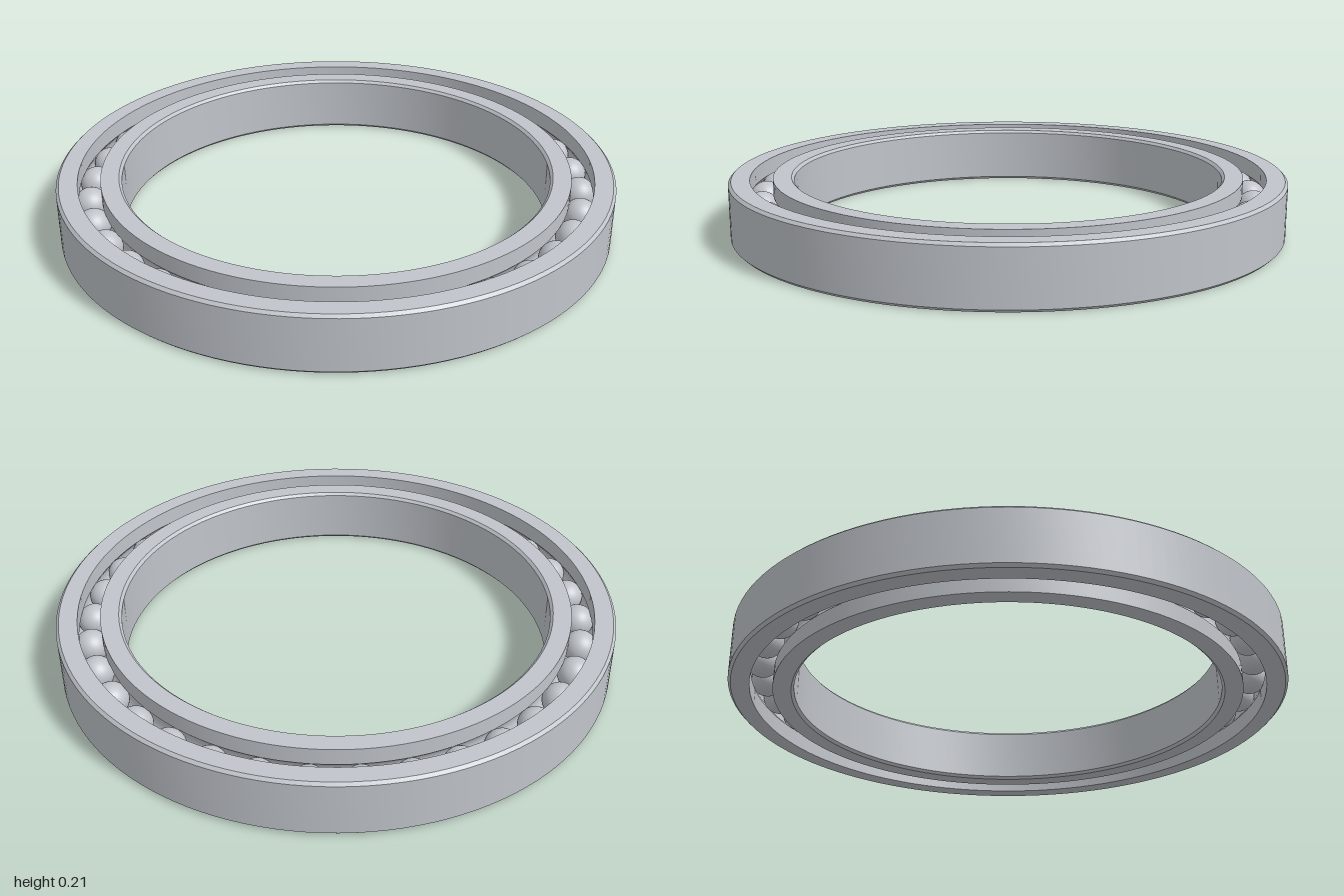
import * as THREE from 'three';
import { toCreasedNormals } from 'three/addons/utils/BufferGeometryUtils.js';

const HEIGHT = 0.21, MID = HEIGHT / 2;
const BALL_COUNT = 34, BALL_RADIUS = 0.06, PITCH_RADIUS = 0.885;
const BEVEL = 0.01;

// Closed ring section, counterclockwise: bevelled plain wall on one side, ball groove on the other.
function makeRing(wall, track, material, name) {
  const dir = Math.sign(wall - track); // +1 when the plain wall faces outward
  const reach = Math.abs(track - PITCH_RADIUS);
  const half = Math.acos(reach / BALL_RADIUS);
  const points = [
    [track, 0], [wall - dir * BEVEL, 0], [wall, BEVEL],
    [wall, HEIGHT - BEVEL], [wall - dir * BEVEL, HEIGHT], [track, HEIGHT],
  ];
  const steps = 10;
  for (let i = 0; i <= steps; i++) {
    const a = half - (2 * half * i) / steps;
    points.push([
      PITCH_RADIUS + dir * BALL_RADIUS * Math.cos(a),
      MID + BALL_RADIUS * Math.sin(a),
    ]);
  }
  points.push([track, 0]);
  if (dir < 0) points.reverse();
  const lathe = new THREE.LatheGeometry(points.map(([x, y]) => new THREE.Vector2(x, y)), 128);
  const ring = new THREE.Mesh(toCreasedNormals(lathe, Math.PI / 6), material);
  ring.name = name;
  return ring;
}

export function createModel() {
  const model = new THREE.Group();
  model.name = 'ballBearing';
  const steel = new THREE.MeshStandardMaterial({ color: 0xc0c4ca });
  steel.name = 'steel';

  // Outer and inner races
  model.add(makeRing(1, 0.925, steel, 'outerRace'));
  model.add(makeRing(0.77, 0.845, steel, 'innerRace'));

  // Balls evenly spaced in the groove
  const balls = new THREE.Group();
  balls.name = 'balls';
  const ballGeometry = new THREE.SphereGeometry(BALL_RADIUS, 32, 20);
  for (let i = 0; i < BALL_COUNT; i++) {
    const a = (i / BALL_COUNT) * Math.PI * 2;
    const ball = new THREE.Mesh(ballGeometry, steel);
    ball.name = 'ball';
    ball.position.set(PITCH_RADIUS * Math.cos(a), MID, PITCH_RADIUS * Math.sin(a));
    balls.add(ball);
  }
  model.add(balls);
  return model;
}
